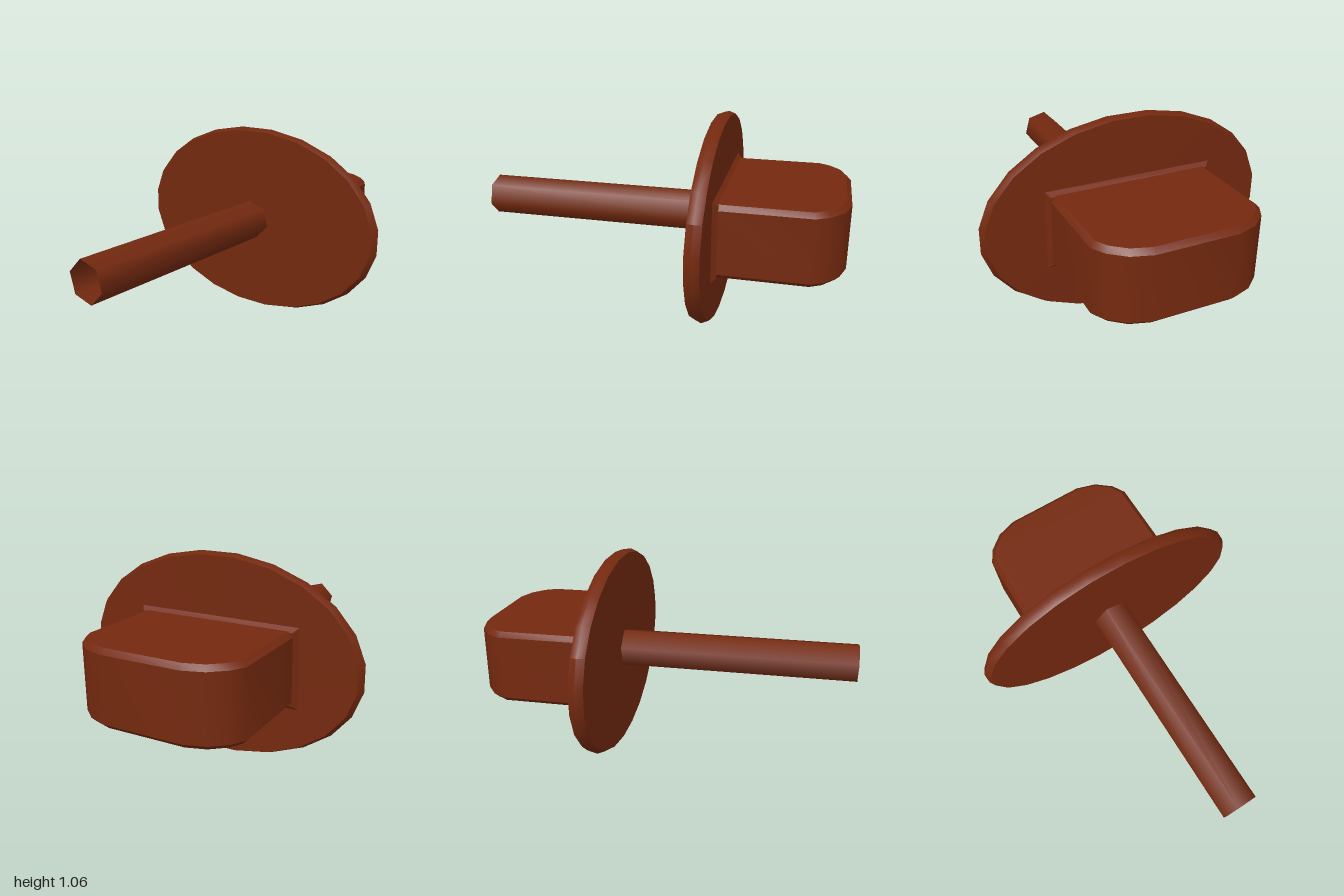
import * as THREE from 'three';
import { toCreasedNormals } from 'three/addons/utils/BufferGeometryUtils.js';

const AXIS_Y = 0.534;

export function createModel() {
  const group = new THREE.Group();
  const brown = new THREE.MeshStandardMaterial({ color: 0x74290f });
  const brownOpen = new THREE.MeshStandardMaterial({ color: 0x74290f, side: THREE.DoubleSide });

  const add = (name, geometry, material = brown) => {
    const mesh = new THREE.Mesh(geometry, material);
    mesh.name = name;
    mesh.position.y = AXIS_Y;
    group.add(mesh);
  };

  // Hollow six-sided shaft along x, running into the plate
  const shaft = new THREE.CylinderGeometry(0.109, 0.109, 1.3, 6, 1, true);
  shaft.rotateY(Math.PI / 12);
  shaft.rotateZ(-Math.PI / 2);
  shaft.translate(-0.35, 0, 0);
  add('shaft', shaft, brownOpen);

  // Oval plate: a disc with a ridged rim, stretched along z
  const profile = [[0, -0.037], [0.972, -0.037], [1, 0], [0.972, 0.037], [0, 0.037]]
    .map(([r, h]) => new THREE.Vector2(r, h));
  const plate = new THREE.LatheGeometry(profile, 24);
  plate.rotateY(Math.PI / 24);
  plate.rotateZ(-Math.PI / 2);
  plate.scale(1, 0.537, 0.787);
  plate.translate(0.309, 0, 0);
  add('plate', toCreasedNormals(plate, 1.02));

  // Head block: rounded plan outline extruded upwards with a small bevel
  const side = [[0.33, 0.435], [0.83, 0.435], [0.9, 0.395], [0.965, 0.315], [0.998, 0.21]];
  const outline = [...side.map(([x, z]) => [x, -z]), ...side.slice().reverse()]
    .map(([x, z]) => new THREE.Vector2(x, z));
  const bevel = 0.025;
  const height = 0.387;
  const head = new THREE.ExtrudeGeometry(new THREE.Shape(outline), {
    depth: height - 2 * bevel, bevelEnabled: true, bevelSegments: 1,
    bevelSize: bevel, bevelThickness: bevel, bevelOffset: -bevel,
  });
  head.translate(0, 0, bevel - height / 2);
  head.rotateX(Math.PI / 2);
  add('head', toCreasedNormals(head, 0.7));

  // Flared collar where the head meets the plate
  const collar = new THREE.BoxGeometry(0.03, 0.43, 0.92);
  const p = collar.attributes.position;
  for (let i = 0; i < p.count; i++) {
    if (p.getX(i) > 0) p.setXYZ(i, p.getX(i), p.getY(i) * 0.88, p.getZ(i) * 0.942);
  }
  collar.computeVertexNormals();
  collar.translate(0.357, 0, 0);
  add('collar', collar);

  return group;
}
